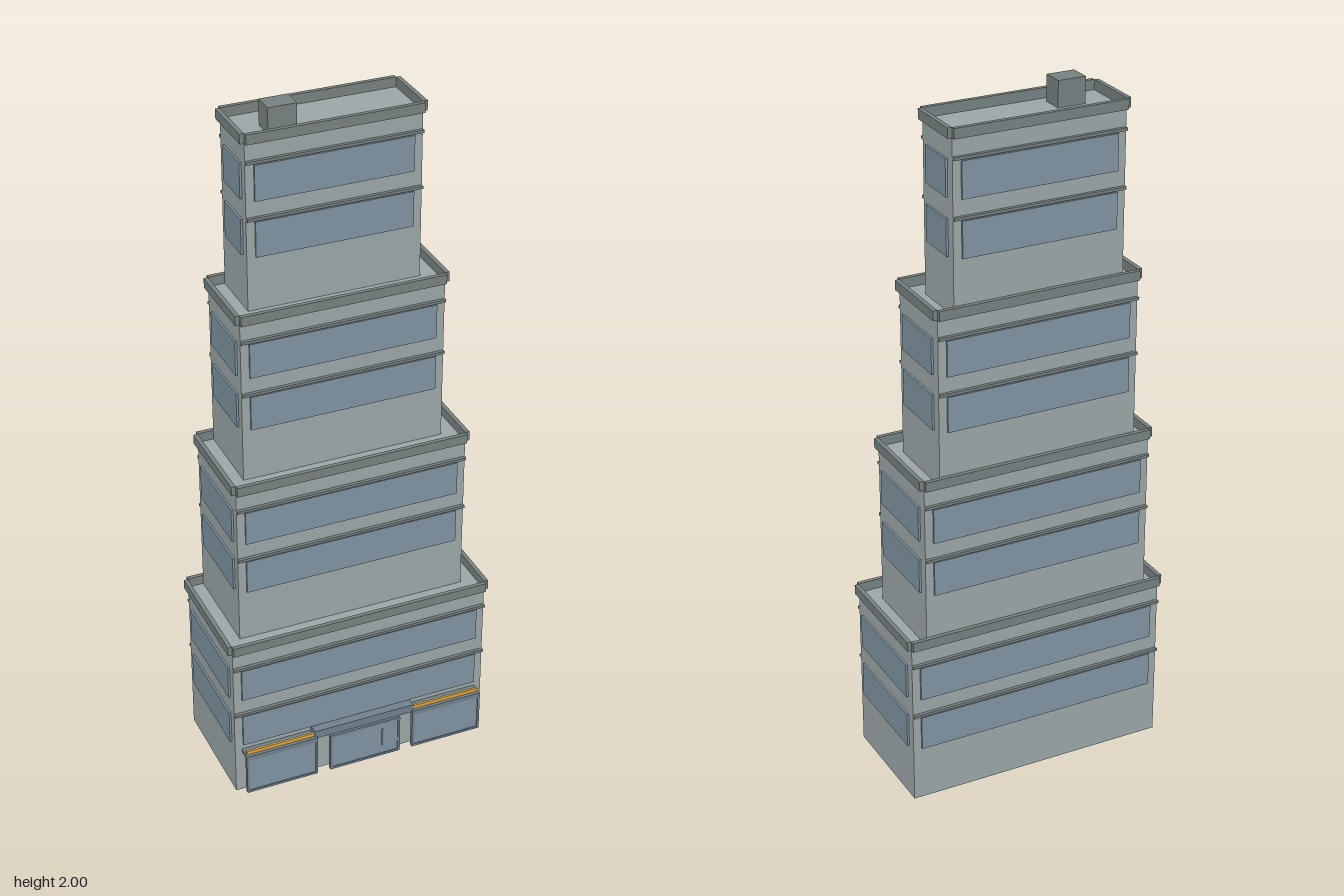
import * as THREE from 'three';

const material = (color) => new THREE.MeshStandardMaterial({ color });

export function createModel() {
  const model = new THREE.Group();
  model.name = 'steppedTower';
  const wall = material(0x9aa5a6);
  const trim = material(0x768080);
  const glass = material(0x7f92a0);
  const canopy = material(0x70808c);
  const amber = material(0xd9a441);

  // Box given by its limits on each axis
  function box(parent, name, mat, x0, x1, y0, y1, z0, z1) {
    const mesh = new THREE.Mesh(new THREE.BoxGeometry(x1 - x0, y1 - y0, z1 - z0), mat);
    mesh.position.set((x0 + x1) / 2, (y0 + y1) / 2, (z0 + z1) / 2);
    mesh.name = name;
    parent.add(mesh);
  }

  const back = -0.188, step = 0.48, roofLift = 0.487;
  const rim = 0.0125, rimHeight = 0.028, margin = 0.024;
  const glassOut = 0.006, ledgeOut = 0.01;

  // Four setback tiers sharing one back plane: half width and front z
  const tiers = [[0.387, 0.16], [0.341, 0.1], [0.295, 0.04], [0.248, -0.019]];
  tiers.forEach(([w, front], i) => {
    const tier = new THREE.Group();
    tier.name = 'tier' + (i + 1);
    model.add(tier);
    const base = i * step;
    const top = base + roofLift;
    box(tier, 'walls', wall, -w, w, i ? base + 0.007 : 0, top, back, front);

    // Parapet strips just outside the roof edge, open at the corners
    const rimTop = top + rimHeight;
    box(tier, 'frontParapet', trim, -w, w, top, rimTop, front, front + rim);
    box(tier, 'backParapet', trim, -w, w, top, rimTop, back - rim, back);
    for (const s of [-1, 1]) {
      const x = s * (w + rim / 2);
      box(tier, 'sideParapet', trim, x - rim / 2, x + rim / 2, top, rimTop, back, front);
    }

    // Two storeys of ribbon windows, ledges on front and back
    for (const floor of [0.163, 0.323]) {
      const y0 = base + floor, y1 = y0 + 0.102;
      box(tier, 'frontWindow', glass, -w + margin, w - margin, y0, y1, front - 0.004, front + glassOut);
      box(tier, 'backWindow', glass, -w + margin, w - margin, y0, y1, back - glassOut, back + 0.004);
      for (const s of [-1, 1]) {
        const x = s * (w + 0.001);
        box(tier, 'sideWindow', glass, x - 0.005, x + 0.005, y0, y1, back + margin + 0.004, front - margin);
      }
      const l0 = y1 + 0.005, l1 = y1 + 0.013;
      box(tier, 'frontLedge', trim, -w, w, l0, l1, front, front + ledgeOut);
      box(tier, 'backLedge', trim, -w, w, l0, l1, back - ledgeOut, back);
    }
  });

  // Rooftop housing
  box(model, 'roofHousing', trim, -0.173, -0.093, 1.926, 2, -0.107, -0.045);

  // Framed glass panel of the shopfront
  function shopPanel(name, x0, x1) {
    const panel = new THREE.Group();
    panel.name = name;
    model.add(panel);
    const t = 0.007, y0 = 0.015, y1 = 0.138, z0 = 0.188, z1 = 0.2;
    box(panel, 'pane', glass, x0 + t, x1 - t, y0 + t, y1 - t, z0 + 0.002, z1 - 0.003);
    box(panel, 'frameSide', canopy, x0, x0 + t, y0, y1, z0, z1);
    box(panel, 'frameSide', canopy, x1 - t, x1, y0, y1, z0, z1);
    box(panel, 'frameBottom', canopy, x0 + t, x1 - t, y0, y0 + t, z0, z1);
    box(panel, 'frameTop', canopy, x0 + t, x1 - t, y1 - t, y1, z0, z1);
  }

  // Shopfront: entrance in the middle, a display window each side
  shopPanel('entrance', -0.11, 0.11);
  box(model, 'doorHandle', trim, 0.052, 0.058, 0.05, 0.11, 0.195, 0.2);
  box(model, 'entranceCanopy', canopy, -0.155, 0.155, 0.138, 0.163, 0.158, 0.192);
  for (const s of [-1, 1]) {
    const c = s * 0.258;
    shopPanel('displayWindow', c - 0.109, c + 0.109);
    box(model, 'displayCanopy', canopy, c - 0.109, c + 0.109, 0.138, 0.146, 0.158, 0.2);
    box(model, 'lightStrip', amber, c - 0.105, c + 0.105, 0.146, 0.157, 0.183, 0.19);
  }
  return model;
}
